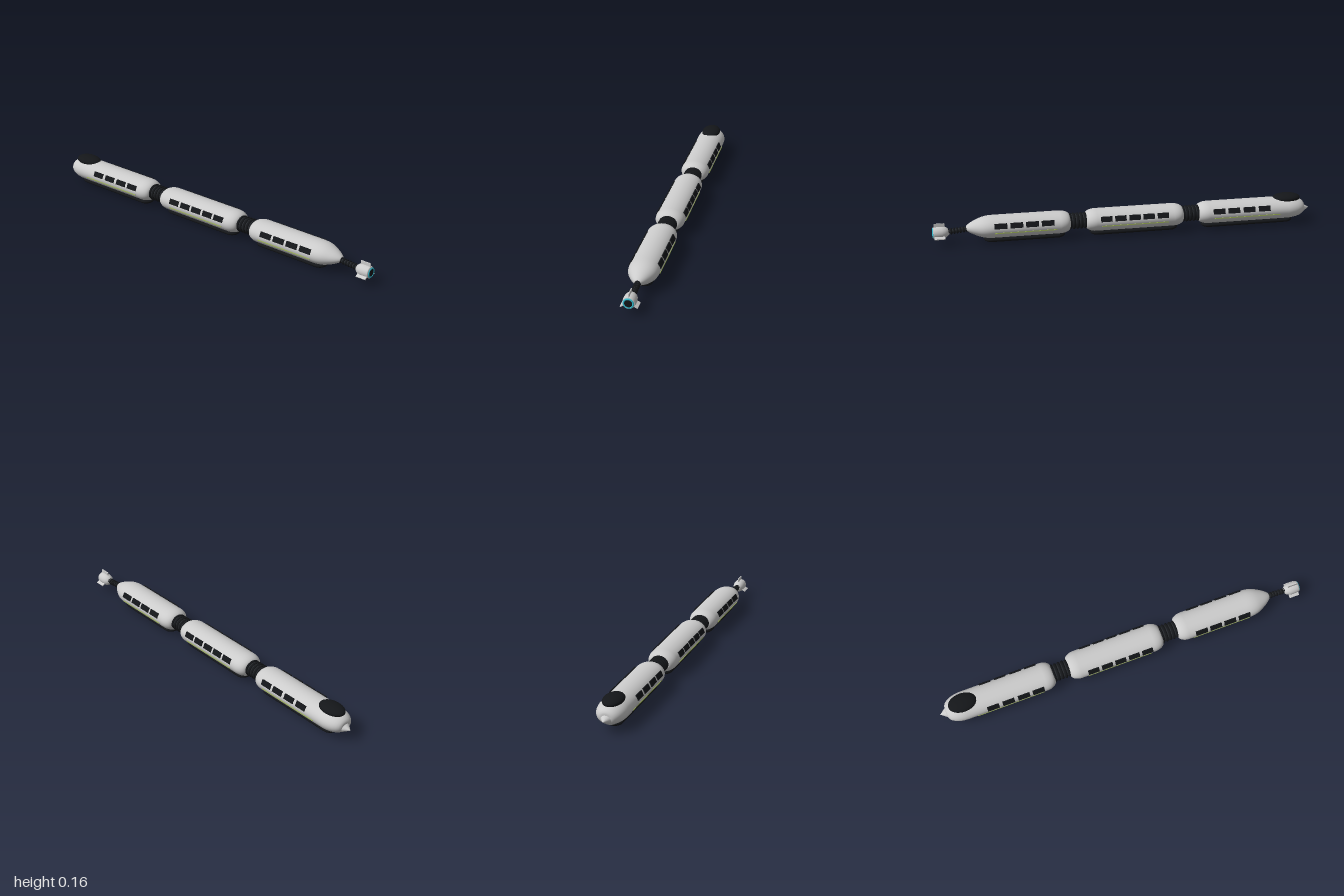
import * as THREE from 'three';

const mat = (color) => new THREE.MeshStandardMaterial({ color });
const hullMat = mat(0xcccccc);
const black = mat(0x141619);
const rubber = mat(0x24272b);
const cyan = mat(0x35bcd0);
const teal = mat(0x1c7482);
const lime = mat(0xa3b85c);

const CY = 0.083, RZ = 0.076, RY = 0.057; // hull centre height and half sizes

function add(parent, name, geo, material, x = 0, y = 0, z = 0) {
  const m = new THREE.Mesh(geo, material);
  m.name = name;
  m.position.set(x, y, z);
  parent.add(m);
  return m;
}

// Solid of revolution along +x from [x, radius] pairs
function turned(pairs, segments = 48) {
  const pts = pairs.map(([x, r]) => new THREE.Vector2(Math.max(r, 0.0001), x));
  return new THREE.LatheGeometry(pts, segments).rotateZ(-Math.PI / 2);
}

// Rounded end: quarter superellipse from flat face radius r0 out to 1
function roundEnd(x, length, r0, dir) {
  const out = [[x, 0]];
  for (let i = 0; i <= 8; i++) {
    const a = (i / 8) * Math.PI / 2;
    out.push([x + dir * length * (1 - Math.cos(a)), r0 + (1 - r0) * Math.sin(a)]);
  }
  return dir > 0 ? out : out.reverse();
}

function tailEnd() {
  const curve = new THREE.SplineCurve([[0.68, 1], [0.715, 0.98], [0.75, 0.87], [0.79, 0.6], [0.815, 0.37], [0.828, 0.2]]
    .map(([x, r]) => new THREE.Vector2(x, r)));
  return [...curve.getPoints(16).map((p) => [p.x, p.y]), [0.83, 0]];
}

function car(name, ends, windows, windowWidth, skid, stripe) {
  const g = new THREE.Group();
  g.name = name;
  const hull = add(g, 'hull', turned(ends), hullMat, 0, CY, 0);
  hull.geometry.scale(1, RY, RZ);

  // Side windows, tilted to follow the hull, and stripes
  for (const s of [-1, 1]) {
    for (const x of windows) {
      const w = add(g, 'window', new THREE.BoxGeometry(windowWidth, 0.028, 0.008), black, x, 0.104, s * 0.0705);
      w.rotation.x = -s * 0.42;
    }
    add(g, 'stripe', new THREE.BoxGeometry(stripe[1] - stripe[0], 0.005, 0.004), lime,
      (stripe[0] + stripe[1]) / 2, 0.068, s * 0.0735);
  }

  // Flattened capsule skid with a glowing strip beneath
  const len = skid[1] - skid[0], mid = (skid[0] + skid[1]) / 2;
  const pod = new THREE.CapsuleGeometry(0.042, len - 0.084, 10, 32).rotateZ(Math.PI / 2).scale(1, 0.4, 1);
  add(g, 'skid', pod, black, mid, 0.02, 0);
  add(g, 'skidMount', new THREE.BoxGeometry(len - 0.1, 0.02, 0.064), black, mid, 0.032, 0);
  add(g, 'skidStrip', new THREE.BoxGeometry(len * 0.78, 0.006, 0.012), teal, mid, 0.004, 0);
  return g;
}

// Row of rings around a core, along +x from the origin
function bellows(name, length, radius, tube, count) {
  const g = new THREE.Group();
  g.name = name;
  const core = new THREE.CylinderGeometry(radius, radius, length, 32).rotateZ(Math.PI / 2);
  add(g, 'core', core, rubber, length / 2);
  for (let i = 0; i < count; i++) {
    const ring = new THREE.TorusGeometry(radius, tube, 10, 32).rotateY(Math.PI / 2);
    add(g, 'ring', ring, black, length * (i + 0.5) / count);
  }
  return g;
}

function thruster() {
  const g = new THREE.Group();
  g.name = 'thruster';
  add(g, 'housing', turned([[-0.047, 0], [-0.045, 0.013], [-0.036, 0.022], [-0.024, 0.029], [-0.008, 0.032],
    [0.014, 0.032], [0.03, 0.03], [0.036, 0.028], [0.036, 0]], 32), hullMat);
  const ring = new THREE.TorusGeometry(0.0225, 0.0048, 12, 40).rotateY(Math.PI / 2);
  add(g, 'glowRing', ring, cyan, 0.035);
  add(g, 'nozzle', new THREE.CylinderGeometry(0.0195, 0.0195, 0.006, 32).rotateZ(Math.PI / 2), black, 0.035);
  // Three fins, one pointing straight up
  for (let i = 0; i < 3; i++) {
    const arm = new THREE.Group();
    arm.name = 'fin';
    add(arm, 'blade', new THREE.BoxGeometry(0.054, 0.022, 0.005), hullMat, 0.004, 0.037, 0);
    arm.rotation.x = i * Math.PI * 2 / 3;
    g.add(arm);
  }
  return g;
}

export function createModel() {
  const model = new THREE.Group();
  model.name = 'articulatedTrain';

  // Three cars: front, middle and tail
  const front = car('frontCar', [...roundEnd(-0.968, 0.1, 0.3, 1), ...roundEnd(-0.385, 0.055, 0.55, -1)],
    [-0.733, -0.65, -0.567, -0.487], 0.063, [-0.905, -0.405], [-0.82, -0.46]);
  const middle = car('middleCar', [...roundEnd(-0.303, 0.055, 0.55, 1), ...roundEnd(0.213, 0.055, 0.55, -1)],
    [-0.185, -0.11, -0.036, 0.039, 0.113], 0.059, [-0.275, 0.19], [-0.215, 0.135]);
  const tail = car('tailCar', [...roundEnd(0.295, 0.055, 0.55, 1), ...tailEnd()],
    [0.417, 0.497, 0.577, 0.658], 0.065, [0.32, 0.74], [0.37, 0.69]);
  model.add(front, middle, tail);

  // Nose cone and canopy on the front car
  const nose = turned([[-0.064, 0], [0, 1], [0.01, 1], [0.01, 0]]).scale(1, 0.04, 0.05);
  add(front, 'noseCone', nose, hullMat, -0.936, 0.073, 0);
  const canopy = new THREE.SphereGeometry(1, 40, 24).scale(0.075, 0.025, 0.05);
  add(front, 'canopy', canopy, black, -0.873, 0.135, 0);

  // Flexible joints between the cars
  for (const x of [-0.393, 0.206]) {
    const joint = bellows('joint', 0.098, 0.041, 0.007, 5);
    joint.position.set(x, CY, 0);
    joint.scale.y = 0.88;
    model.add(joint);
  }

  // Tail hose and thruster
  const hose = bellows('tailHose', 0.11, 0.011, 0.005, 7);
  hose.position.set(0.818, 0.079, 0);
  hose.rotation.z = -0.09;
  model.add(hose);
  const engine = thruster();
  engine.position.set(0.96, 0.068, 0);
  model.add(engine);

  return model;
}
